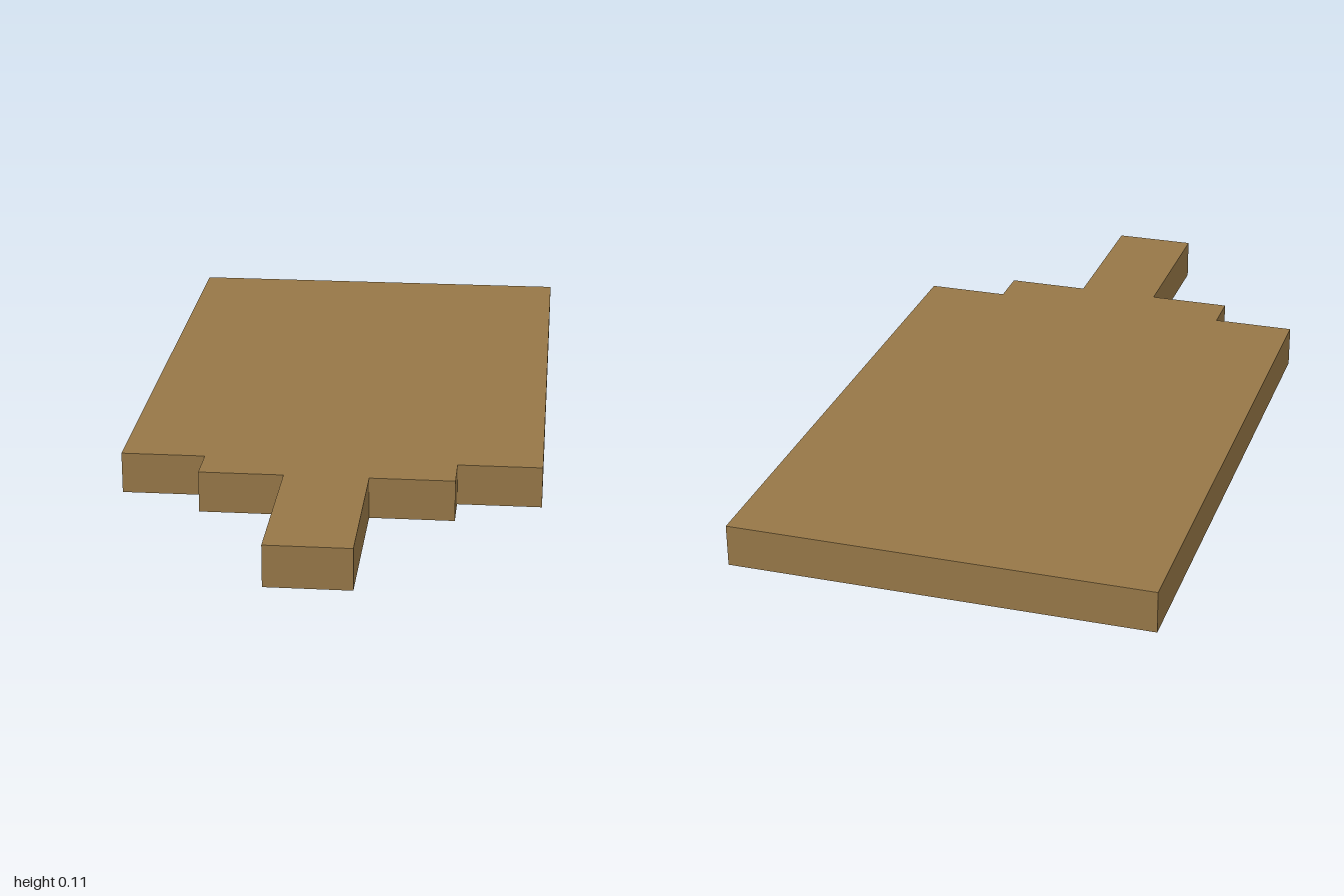
import * as THREE from 'three';

// The whole board is laid out on a grid of 19 units along its length
const U = 2 / 19;

export function createModel() {
  const group = new THREE.Group();
  group.name = 'paddleBoard';

  const wood = new THREE.MeshStandardMaterial({ color: 0x967747 });
  wood.name = 'wood';

  // Right half of the outline, back to front: blade, stepped shoulder, handle (x, z in grid units)
  const half = [[5, -9.5], [5, 4.5], [3, 4.5], [3, 5.5], [1, 5.5], [1, 9.5]];
  const mirrored = half.map(([x, z]) => [-x, z]).reverse();
  const outline = [...half, ...mirrored].map(([x, z]) => new THREE.Vector2(x * U, -z * U));

  // One solid slab, laid flat on the ground
  const geometry = new THREE.ExtrudeGeometry(new THREE.Shape(outline), { depth: U, bevelEnabled: false });
  geometry.rotateX(-Math.PI / 2);

  const board = new THREE.Mesh(geometry, wood);
  board.name = 'bladeAndHandle';
  group.add(board);
  return group;
}
